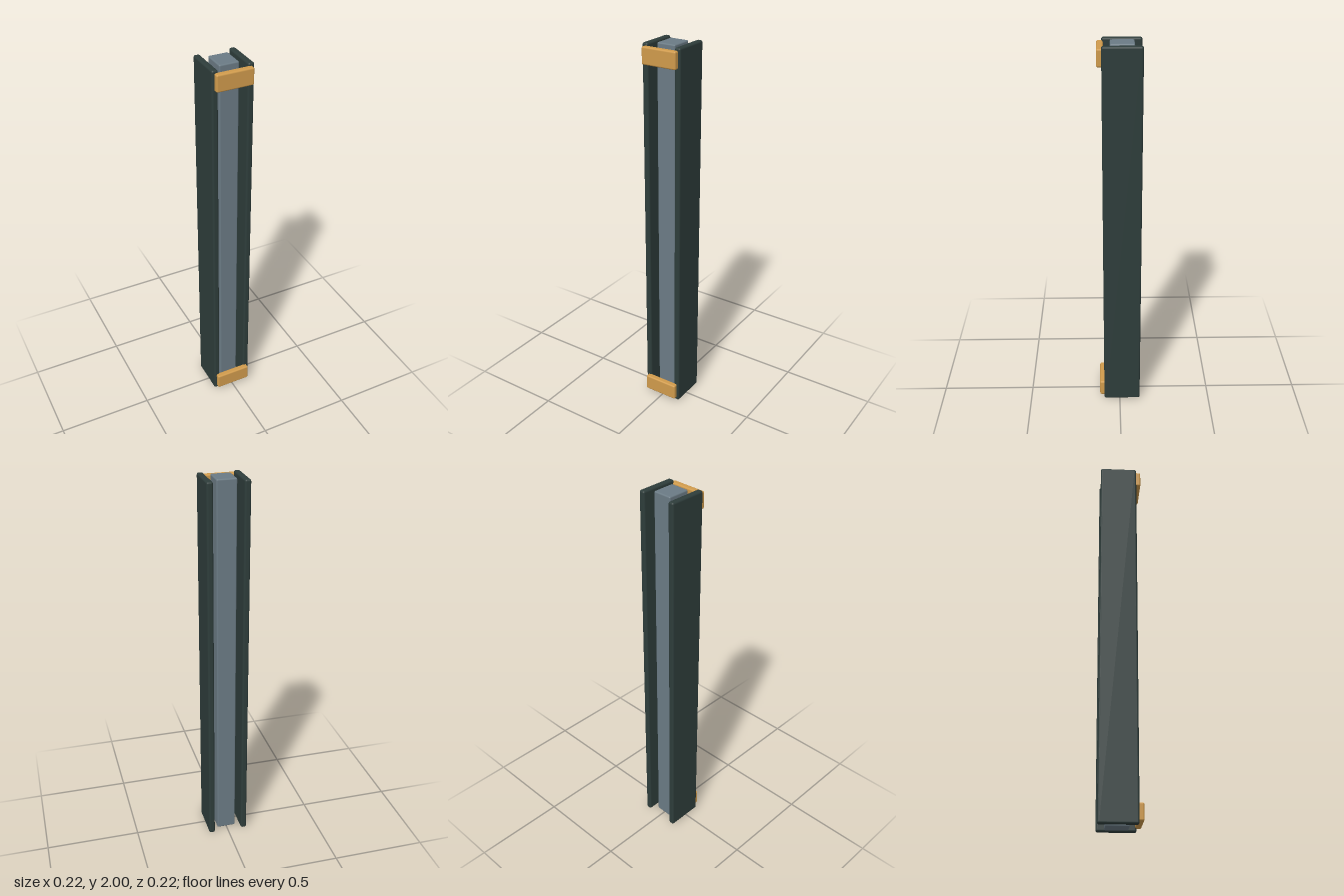
import * as THREE from 'three';
import { RoundedBoxGeometry } from 'three/addons/geometries/RoundedBoxGeometry.js';

const railMaterial = new THREE.MeshStandardMaterial({ color: 0x2e3d3b });
railMaterial.name = 'dark green rail';
const coreMaterial = new THREE.MeshStandardMaterial({ color: 0x6b7b85 });
coreMaterial.name = 'slate grey core';
const bandMaterial = new THREE.MeshStandardMaterial({ color: 0xd09b4c });
bandMaterial.name = 'ochre band';

// Softly rounded block given by its extents on each axis
function block(name, material, [x0, x1], [y0, y1], [z0, z1], radius) {
  const geometry = new RoundedBoxGeometry(x1 - x0, y1 - y0, z1 - z0, 3, radius);
  const mesh = new THREE.Mesh(geometry, material);
  mesh.name = name;
  mesh.position.set((x0 + x1) / 2, (y0 + y1) / 2, (z0 + z1) / 2);
  return mesh;
}

export function createModel() {
  const model = new THREE.Group();
  model.name = 'railedColumn';

  // Central column
  model.add(block('core', coreMaterial, [-0.051, 0.051], [0, 2], [-0.073, 0.046], 0.007));

  // Side rails
  model.add(block('leftRail', railMaterial, [0.076, 0.108], [0, 2], [-0.112, 0.087], 0.01));
  model.add(block('rightRail', railMaterial, [-0.108, -0.076], [0, 2], [-0.112, 0.087], 0.01));

  // Bands joining the rails across the front
  model.add(block('lowerBand', bandMaterial, [-0.096, 0.096], [0.018, 0.105], [0.079, 0.111], 0.008));
  model.add(block('upperBand', bandMaterial, [-0.096, 0.096], [1.9, 1.987], [0.079, 0.111], 0.008));

  return model;
}
